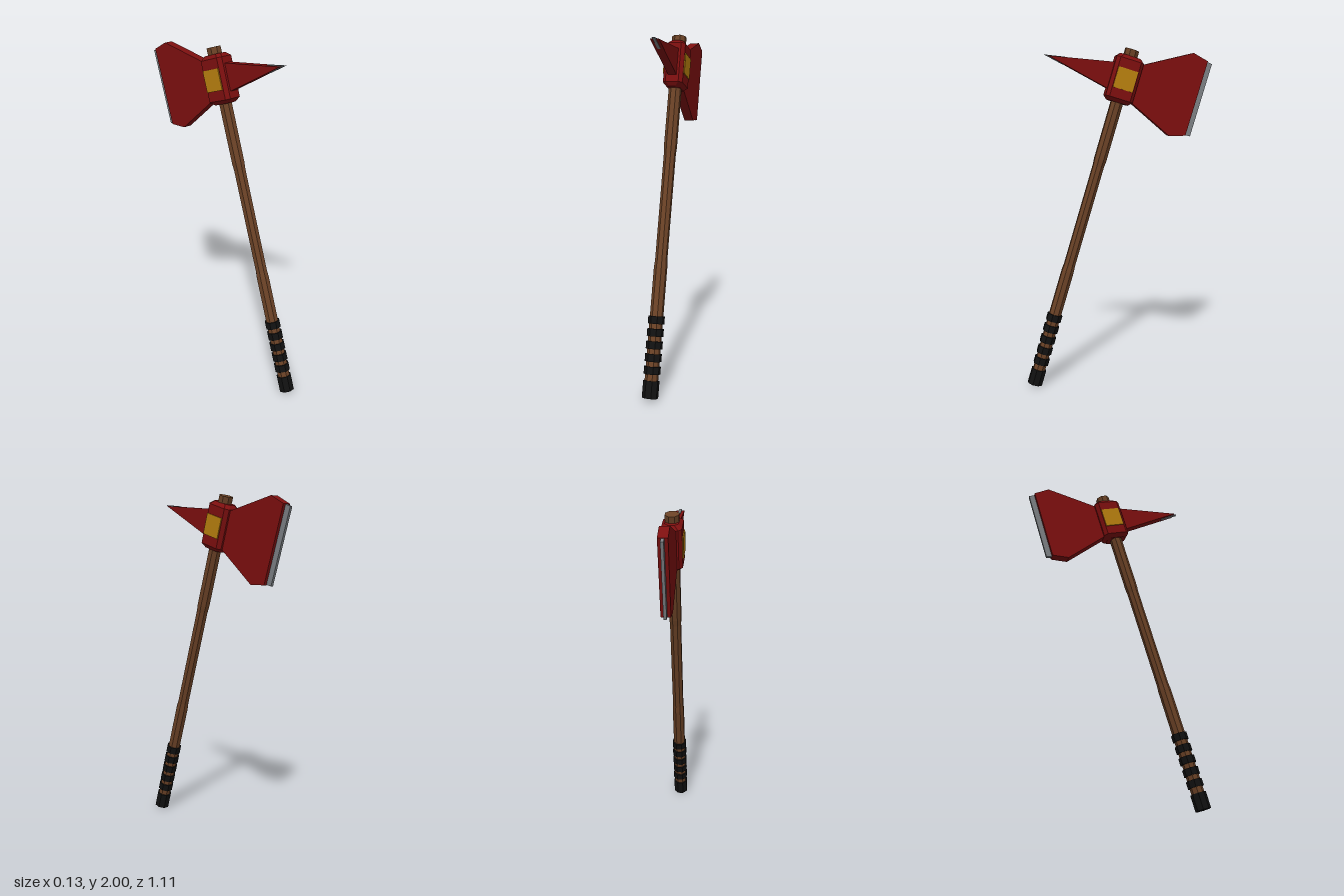
import * as THREE from 'three';
import { ConvexGeometry } from 'three/addons/geometries/ConvexGeometry.js';

const paint = (name, color) => {
  const m = new THREE.MeshStandardMaterial({ color, flatShading: true });
  m.name = name;
  return m;
};

export function createModel() {
  const red = paint('red', 0x7d0f0f);
  const wood = paint('wood', 0x6b4226);
  const black = paint('black', 0x111111);
  const steel = paint('steel', 0x7c8084);
  const gold = paint('gold', 0xb8800f);

  // The axe is built upright, then leaned back
  const axe = new THREE.Group();
  axe.name = 'axe';
  const add = (name, geometry, material) => {
    const mesh = new THREE.Mesh(geometry, material);
    mesh.name = name;
    axe.add(mesh);
    return mesh;
  };

  // Eight-sided solid from [distance to flat, height] pairs, bottom to top
  const octagonal = (profile) => {
    const pts = profile.map(([r, y]) => new THREE.Vector2(r / Math.cos(Math.PI / 8), y));
    pts.unshift(new THREE.Vector2(0, pts[0].y));
    pts.push(new THREE.Vector2(0, pts[pts.length - 1].y));
    return new THREE.LatheGeometry(pts, 8, Math.PI / 8);
  };

  // Flat plate drawn in (z, y) and given a thickness along x
  const plate = (points, thickness) => {
    const shape = new THREE.Shape(points.map(([z, y]) => new THREE.Vector2(z, y)));
    const g = new THREE.ExtrudeGeometry(shape, { depth: thickness, bevelEnabled: false });
    return g.translate(0, 0, -thickness / 2).rotateY(-Math.PI / 2);
  };

  // Handle
  add('shaft', octagonal([[0.035, 0.01], [0.035, 0.72], [0.032, 0.76], [0.032, 1.37], [0.035, 1.41], [0.035, 1.9]]), wood);
  add('shaftTop', octagonal([[0.039, 1.9], [0.039, 2.066]]), wood);
  add('pommel', octagonal([[0.042, 0], [0.042, 0.095]]), black);
  for (let i = 0; i < 5; i++) {
    const y = 0.151 + i * 0.069;
    add('gripBand', octagonal([[0.043, y - 0.021], [0.043, y + 0.021]]), black);
  }

  // Collar with chamfered edges
  const corners = [];
  const cut = 0.02;
  for (const [dy, inset] of [[0.137, cut], [0.115, 0]]) {
    const a = 0.058 - inset, b = 0.082 - inset;
    for (const sy of [-1, 1]) for (const sx of [-1, 1]) for (const sz of [-1, 1]) {
      corners.push(new THREE.Vector3(sx * a, 1.89 + sy * dy, sz * (b - cut)));
      corners.push(new THREE.Vector3(sx * (a - cut), 1.89 + sy * dy, sz * b));
    }
  }
  add('collar', new ConvexGeometry(corners), red);
  for (const side of [-1, 1]) {
    add('collarPlate', new THREE.BoxGeometry(0.009, 0.12, 0.118), gold).position.set(side * 0.0595, 1.89, 0);
  }

  // Blade and its cutting edge
  add('blade', plate([[-0.05, 1.787], [-0.05, 1.983], [-0.35, 2.155], [-0.446, 2.135], [-0.446, 1.685], [-0.35, 1.656]], 0.055), red);
  add('cuttingEdge', plate([[-0.44, 1.687], [-0.44, 2.133], [-0.48, 2.13], [-0.48, 1.69]], 0.017), steel);

  // Rear spike and its tip
  add('spike', plate([[0.05, 1.808], [0.455, 1.89], [0.05, 1.976]], 0.049), red);
  add('spikeTip', plate([[0.36, 1.868], [0.4775, 1.89], [0.36, 1.913]], 0.017), steel);

  axe.rotation.x = -0.293;
  axe.position.set(0, 0.012, 0.517);
  const model = new THREE.Group();
  model.name = 'model';
  model.add(axe);
  return model;
}
